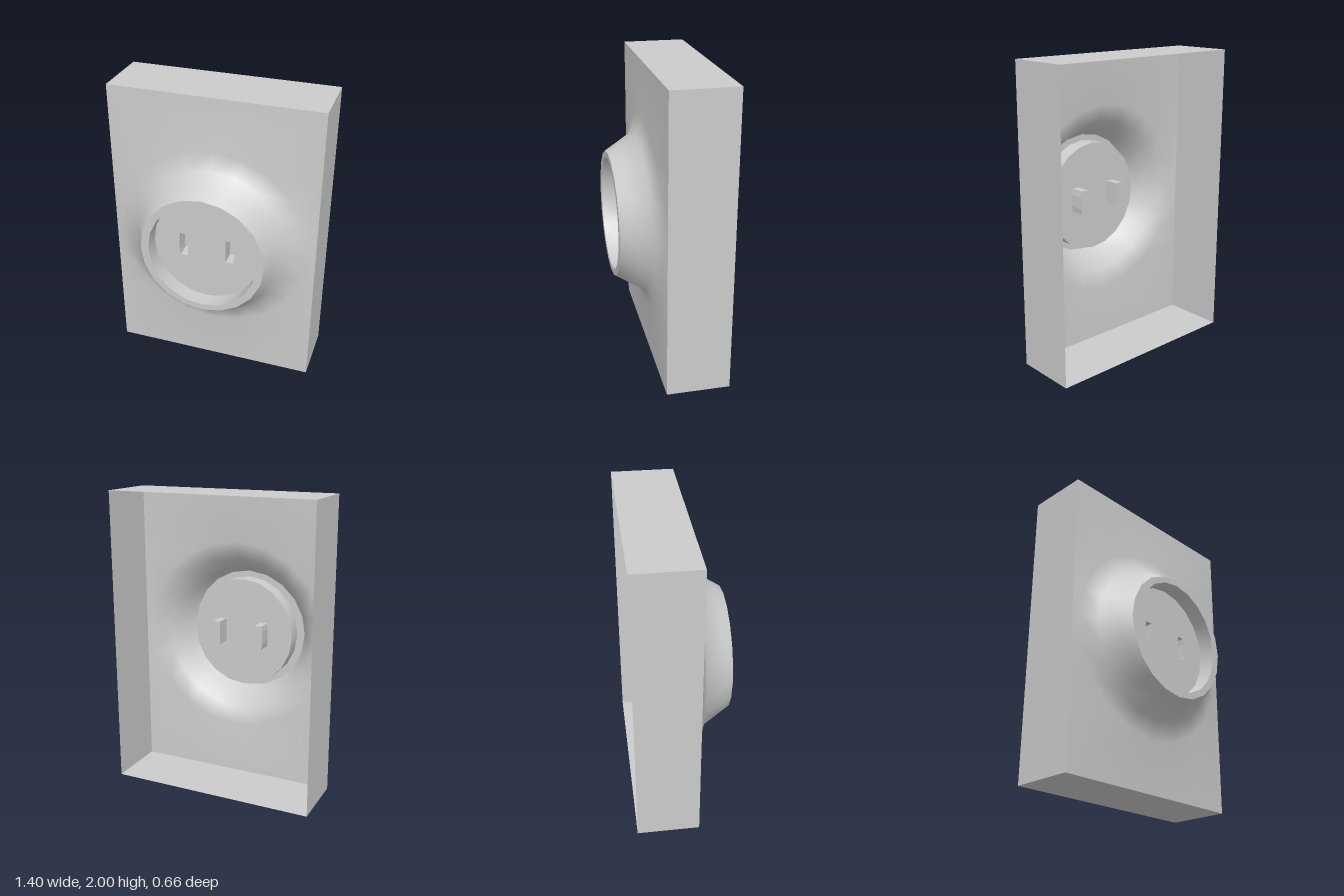
import * as THREE from 'three';

const SIDES = 20, HALF_W = 0.7, CY = 1;
const BACK = -0.33, PLATE = 0.09, RIM = 0.33, FLOOR = 0.22, SLOT_END = 0.12;

const material = new THREE.MeshStandardMaterial({ color: 0xcccccc, side: THREE.DoubleSide });

// Outlines, counter-clockwise when seen from the front
function ellipse(rx, ry = rx) {
  return Array.from({ length: SIDES }, (_, i) => {
    const a = (i / SIDES) * Math.PI * 2;
    return new THREE.Vector2(rx * Math.cos(a), CY + ry * Math.sin(a));
  });
}

// Plate border with one point per side of the round boss; rays near the corners snap to them
function border() {
  return Array.from({ length: SIDES }, (_, i) => {
    const a = (i / SIDES) * Math.PI * 2, c = Math.cos(a), s = Math.sin(a);
    if ([3, 7, 13, 17].includes(i)) return new THREE.Vector2(Math.sign(c) * HALF_W, CY + Math.sign(s));
    const k = Math.min(HALF_W / Math.max(Math.abs(c), 1e-6), 1 / Math.max(Math.abs(s), 1e-6));
    return new THREE.Vector2(k * c, CY + k * s);
  });
}

function slotOutline(side) {
  const pts = [[0.13, 0.92], [0.182, 0.92], [0.188, 0.96], [0.188, 1.045], [0.182, 1.085], [0.13, 1.085]]
    .map(([x, y]) => new THREE.Vector2(side * x, y));
  return side > 0 ? pts : pts.reverse();
}

// Skin between successive [outline, z] rings
function loft(rings, flat = false) {
  const n = rings[0][0].length, pos = [], idx = [];
  for (const [pts, z] of rings) for (const p of pts) pos.push(p.x, p.y, z);
  for (let r = 0; r < rings.length - 1; r++) {
    for (let i = 0; i < n; i++) {
      const j = (i + 1) % n, a = r * n + i, b = r * n + j;
      idx.push(a, b, b + n, a, b + n, a + n);
    }
  }
  let g = new THREE.BufferGeometry();
  g.setAttribute('position', new THREE.Float32BufferAttribute(pos, 3));
  g.setIndex(idx);
  if (flat) g = g.toNonIndexed();
  g.computeVertexNormals();
  return g;
}

// Flat face facing the front
function face(outline, z, holes = []) {
  const shape = new THREE.Shape(outline);
  shape.holes = holes.map(h => new THREE.Path(h));
  return new THREE.ShapeGeometry(shape).translate(0, 0, z);
}

export function createModel() {
  const group = new THREE.Group();
  const add = (name, geometry) => {
    const mesh = new THREE.Mesh(geometry, material);
    mesh.name = name;
    group.add(mesh);
  };

  // Box sides, open at the back
  const rect = [[-1, 0], [1, 0], [1, 2], [-1, 2]].map(([x, y]) => new THREE.Vector2(x * HALF_W, y));
  add('boxSides', loft([[rect, BACK], [rect, PLATE]], true));

  // Front plate swelling smoothly into the round boss
  add('frontPlate', loft([
    [border(), PLATE],
    [ellipse(0.655), 0.105],
    [ellipse(0.535), 0.147],
    [ellipse(0.46), 0.265],
    [ellipse(0.42), RIM],
  ]));

  // Rim and recess
  const inner = ellipse(0.366, 0.379);
  add('rim', face(ellipse(0.42), RIM, [inner]));
  add('recessWall', loft([[inner, RIM], [inner, FLOOR]]));

  // Recess floor pierced by two blind slots
  const slots = [1, -1].map(slotOutline);
  add('recessFloor', face(inner, FLOOR, slots));
  slots.forEach((outline, i) => {
    const side = i === 0 ? 'left' : 'right';
    add(side + 'SlotWalls', loft([[outline, FLOOR], [outline, SLOT_END]], true));
    add(side + 'SlotEnd', face(outline, SLOT_END));
  });

  return group;
}
